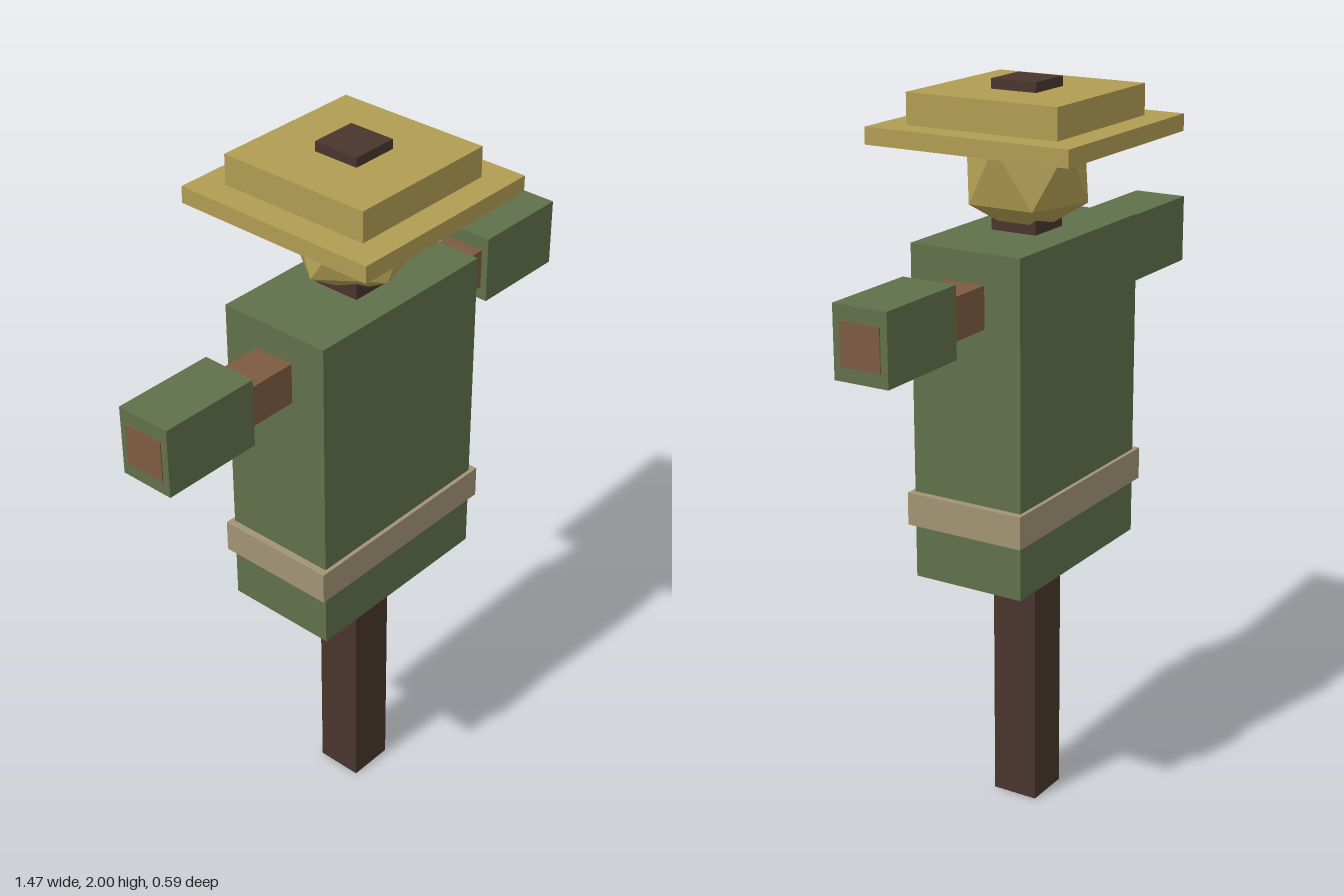
import * as THREE from 'three';
import { ConvexGeometry } from 'three/addons/geometries/ConvexGeometry.js';

const material = (name, color) => {
  const m = new THREE.MeshStandardMaterial({ color });
  m.name = name;
  return m;
};

export function createModel() {
  const model = new THREE.Group();
  model.name = 'scarecrow';

  const darkWood = material('dark wood', 0x49352d);
  const wood = material('wood', 0x7d5a41);
  const cloth = material('green cloth', 0x60714a);
  const rope = material('rope', 0xa19374);
  const straw = material('straw', 0xb09c52);

  const add = (name, geometry, mat) => {
    const mesh = new THREE.Mesh(geometry, mat);
    mesh.name = name;
    model.add(mesh);
    return mesh;
  };
  // Box given by half width, bottom, top and half depth
  const box = (name, hx, y0, y1, hz, mat, x = 0) => {
    const mesh = add(name, new THREE.BoxGeometry(hx * 2, y1 - y0, hz * 2), mat);
    mesh.position.set(x, (y0 + y1) / 2, 0);
    return mesh;
  };

  // Wooden frame
  box('pole', 0.066, 0, 2, 0.066, darkWood);
  box('crossbar', 0.736, 1.421, 1.533, 0.057, wood);

  // Clothes
  box('shirt', 0.294, 0.712, 1.614, 0.161, cloth);
  box('belt', 0.314, 0.862, 0.951, 0.172, rope);
  for (const side of [-1, 1]) {
    box(side > 0 ? 'leftSleeve' : 'rightSleeve', 0.142, 1.385, 1.572, 0.077, cloth, side * 0.591);
  }

  // Icosahedral head standing on a point: two poles and two staggered rings
  const r = 0.179;
  const points = [new THREE.Vector3(0, r, 0), new THREE.Vector3(0, -r, 0)];
  for (let i = 0; i < 5; i++) {
    const a = (i * Math.PI * 2) / 5;
    const x = Math.cos(a) * r * 0.8944;
    const z = Math.sin(a) * r * 0.8944;
    points.push(new THREE.Vector3(x, r * 0.4472, z), new THREE.Vector3(-x, -r * 0.4472, -z));
  }
  add('head', new ConvexGeometry(points), straw).position.y = 1.768;

  // Hat
  box('hatBrim', 0.294, 1.847, 1.892, 0.294, straw);
  box('hatCrown', 0.219, 1.865, 1.974, 0.219, straw);

  return model;
}
